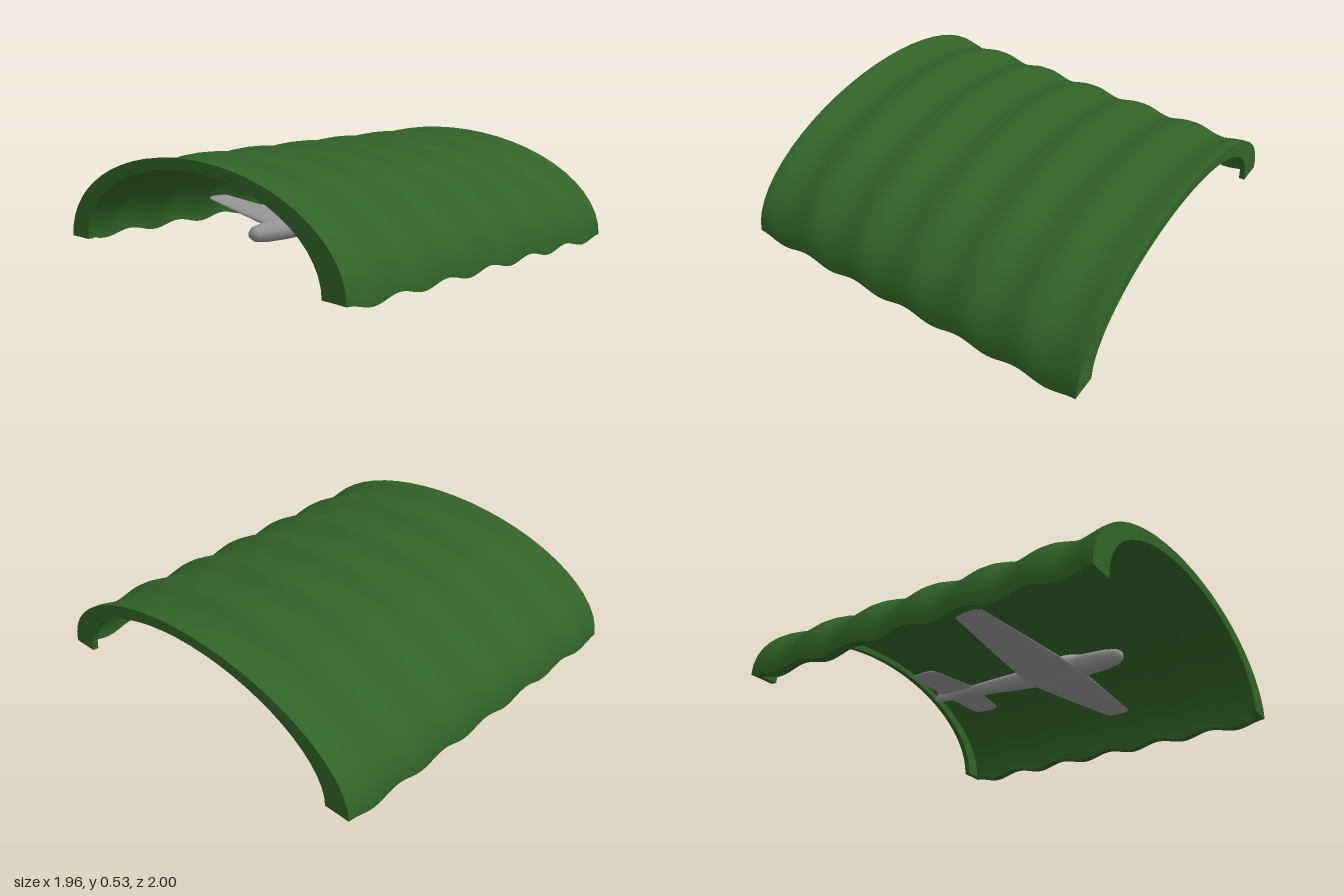
import * as THREE from 'three';
import { mergeGeometries } from 'three/addons/utils/BufferGeometryUtils.js';
import { ParametricGeometry } from 'three/addons/geometries/ParametricGeometry.js';

const lerp = THREE.MathUtils.lerp;

// Point on the arch: ellipse of half-width a and height b, with waves along x and a slight skew
function archPoint(x, t, a, b, base, target) {
  const z = a * Math.cos(t);
  const y = base + 0.015 * Math.cos((x / 0.322) * Math.PI * 2) + b * Math.sin(t);
  target.set(x + 0.013 * z, y, z + 0.014 * x);
}

// Solid arch between two ellipses, from x0 to x1
function archGeometry(x0, x1, nx, outer, inner, base) {
  const nt = 28;
  const skin = ([a, b], xa, xb) => new ParametricGeometry(
    (u, v, p) => archPoint(lerp(xa, xb, u), v * Math.PI, a, b, base, p), nx, nt);
  const end = (x, from, to) => new ParametricGeometry(
    (u, v, p) => archPoint(x, v * Math.PI, lerp(from[0], to[0], u), lerp(from[1], to[1], u), base, p), 1, nt);
  const foot = (t, from, to) => new ParametricGeometry(
    (u, v, p) => archPoint(lerp(x0, x1, u), t, lerp(from[0], to[0], v), 0, base, p), nx, 1);
  return mergeGeometries([
    skin(outer, x0, x1), skin(inner, x1, x0),
    end(x1, outer, inner), end(x0, inner, outer),
    foot(0, inner, outer), foot(Math.PI, outer, inner),
  ]);
}

// Aerofoil surface lofted through stations [z, leading x, trailing x, y, thickness]
function wingGeometry(stations) {
  const n = stations.length - 1;
  return new ParametricGeometry((u, v, p) => {
    const [z, x0, x1, y, th] = stations[Math.round(v * n)];
    const c = Math.cos(u * Math.PI * 2), s = Math.sin(u * Math.PI * 2);
    p.set((x0 + x1) / 2 + ((x1 - x0) / 2) * c, y + (th / 2) * s * (1 - 0.5 * c), z);
  }, 20, n);
}

// Mirror half-span stations (root first) into a full span
function fullSpan(half) {
  const mirrored = half.slice(1).reverse().map(([z, ...rest]) => [-z, ...rest]);
  return wingGeometry([...mirrored, ...half]);
}

export function createModel() {
  const green = new THREE.MeshStandardMaterial({ color: 0x316427, side: THREE.DoubleSide });
  green.name = 'shelter green';
  const grey = new THREE.MeshStandardMaterial({ color: 0x959595, side: THREE.DoubleSide });
  grey.name = 'aircraft grey';
  const glass = new THREE.MeshStandardMaterial({ color: 0xb4b8b8 });
  glass.name = 'canopy glass';

  const model = new THREE.Group();
  model.name = 'hangar';
  const add = (parent, name, geometry, material) => {
    const mesh = new THREE.Mesh(geometry, material);
    mesh.name = name;
    parent.add(mesh);
    return mesh;
  };

  // Corrugated shell and the deeper rim at each open end
  const outer = [0.984, 0.5], liner = [0.935, 0.475], rimInner = [0.845, 0.443];
  add(model, 'shell', archGeometry(-0.966, 0.966, 72, outer, liner, 0.015), green);
  add(model, 'rightRim', archGeometry(-0.966, -0.935, 2, liner, rimInner, 0.016), green);
  add(model, 'leftRim', archGeometry(0.935, 0.966, 2, liner, rimInner, 0.016), green);

  // Aircraft parked inside, nose towards -x
  const plane = new THREE.Group();
  plane.name = 'aircraft';
  plane.position.z = -0.01;
  model.add(plane);

  // Fuselage: turned body, with the tail boom lifted
  const profile = [[0, -0.6], [0.022, -0.593], [0.038, -0.57], [0.05, -0.5], [0.056, -0.38], [0.056, -0.2],
    [0.05, -0.05], [0.039, 0.15], [0.028, 0.35], [0.02, 0.53], [0.012, 0.55], [0, 0.552]];
  const body = new THREE.LatheGeometry(profile.map(([r, y]) => new THREE.Vector2(r, y)), 24);
  body.rotateZ(-Math.PI / 2);
  const pos = body.attributes.position;
  for (let i = 0; i < pos.count; i++) {
    pos.setY(i, pos.getY(i) + 0.12 + 0.02 * THREE.MathUtils.smoothstep(pos.getX(i), -0.2, 0.5));
  }
  body.computeVertexNormals();
  add(plane, 'fuselage', body, grey);

  // Low main wing with dihedral, and the flat tailplane
  add(plane, 'mainWing', fullSpan([
    [0, -0.37, -0.05, 0.092, 0.045], [0.4, -0.305, -0.075, 0.129, 0.028],
    [0.75, -0.245, -0.1, 0.162, 0.013], [0.775, -0.22, -0.11, 0.164, 0.01], [0.78, -0.17, -0.17, 0.164, 0],
  ]), grey);
  add(plane, 'tailplane', fullSpan([
    [0, 0.29, 0.5, 0.153, 0.018], [0.28, 0.34, 0.49, 0.153, 0.013],
    [0.298, 0.36, 0.48, 0.153, 0.01], [0.302, 0.42, 0.42, 0.153, 0],
  ]), grey);

  // Short upright fin
  const fin = wingGeometry([[0, 0, 0, 0, 0], [0, 0.33, 0.54, 0, 0.014], [0.065, 0.44, 0.54, 0, 0.008], [0.065, 0.49, 0.49, 0, 0]]);
  fin.rotateX(-Math.PI / 2);
  add(plane, 'fin', fin, grey).position.y = 0.14;

  // Bubble canopy
  const canopy = add(plane, 'canopy', new THREE.SphereGeometry(1, 24, 14), glass);
  canopy.scale.set(0.14, 0.045, 0.038);
  canopy.position.set(-0.25, 0.153, 0);

  return model;
}
